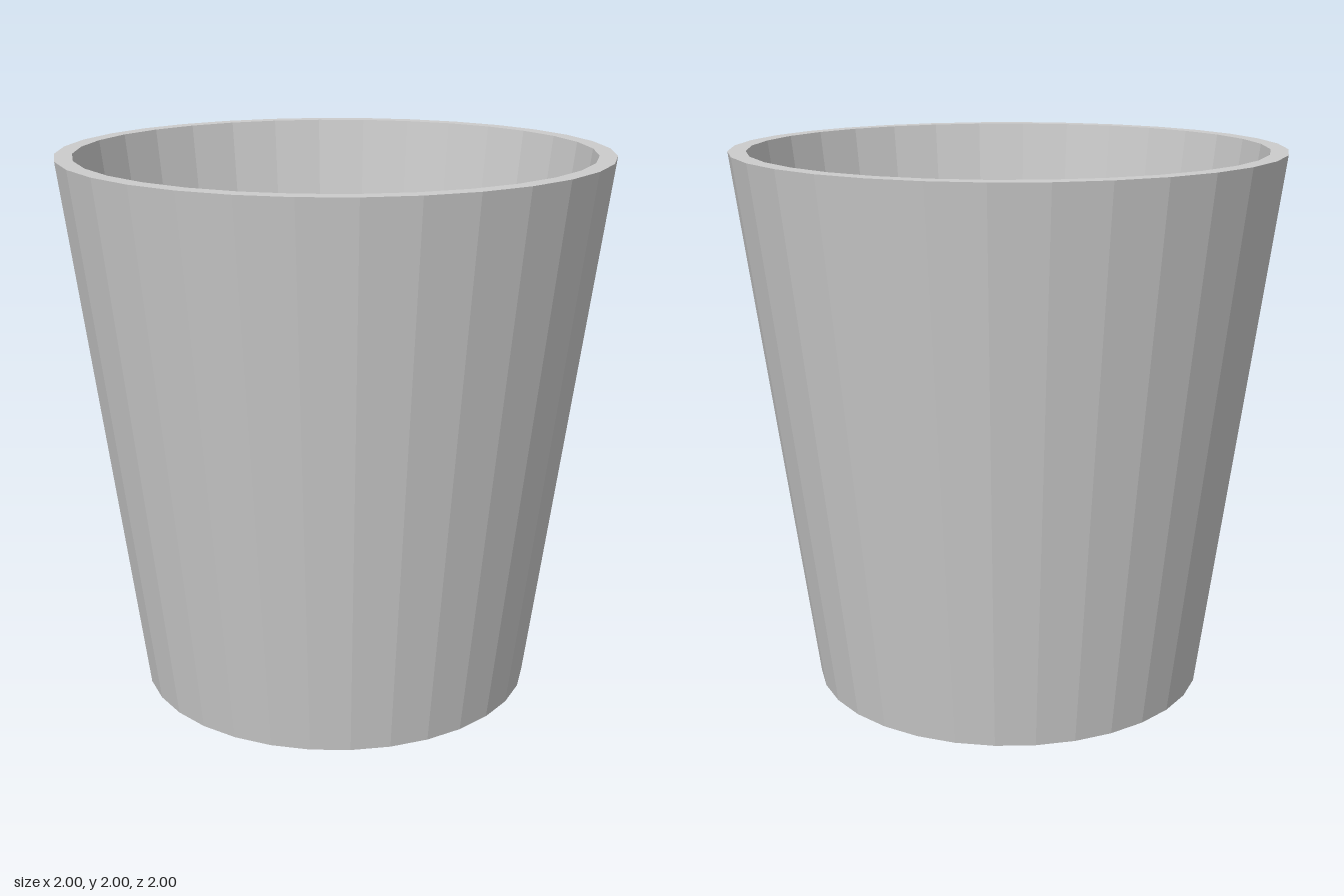
import * as THREE from 'three';

const SIDES = 32;

// Faceted surface of revolution from [radius, height] points
function turned(name, points, material) {
  const profile = points.map(([r, y]) => new THREE.Vector2(r, y));
  const mesh = new THREE.Mesh(new THREE.LatheGeometry(profile, SIDES), material);
  mesh.name = name;
  return mesh;
}

export function createModel() {
  const group = new THREE.Group();
  group.name = 'cup';
  const material = new THREE.MeshStandardMaterial({ color: 0xcccccc, flatShading: true });

  const bottomR = 0.73, topR = 1, height = 2;
  const innerTopR = 0.936, floorR = 0.78, floorY = 0.85;

  // Closed base and tapered outer wall
  group.add(turned('outerWall', [[0, 0], [bottomR, 0], [topR, height]], material));
  // Flat rim
  group.add(turned('rim', [[topR, height], [innerTopR, height]], material));
  // Inner wall parallel to the outer one, down to the raised floor
  group.add(turned('innerWall', [[innerTopR, height], [floorR, floorY]], material));
  group.add(turned('floor', [[floorR, floorY], [0, floorY]], material));

  return group;
}
